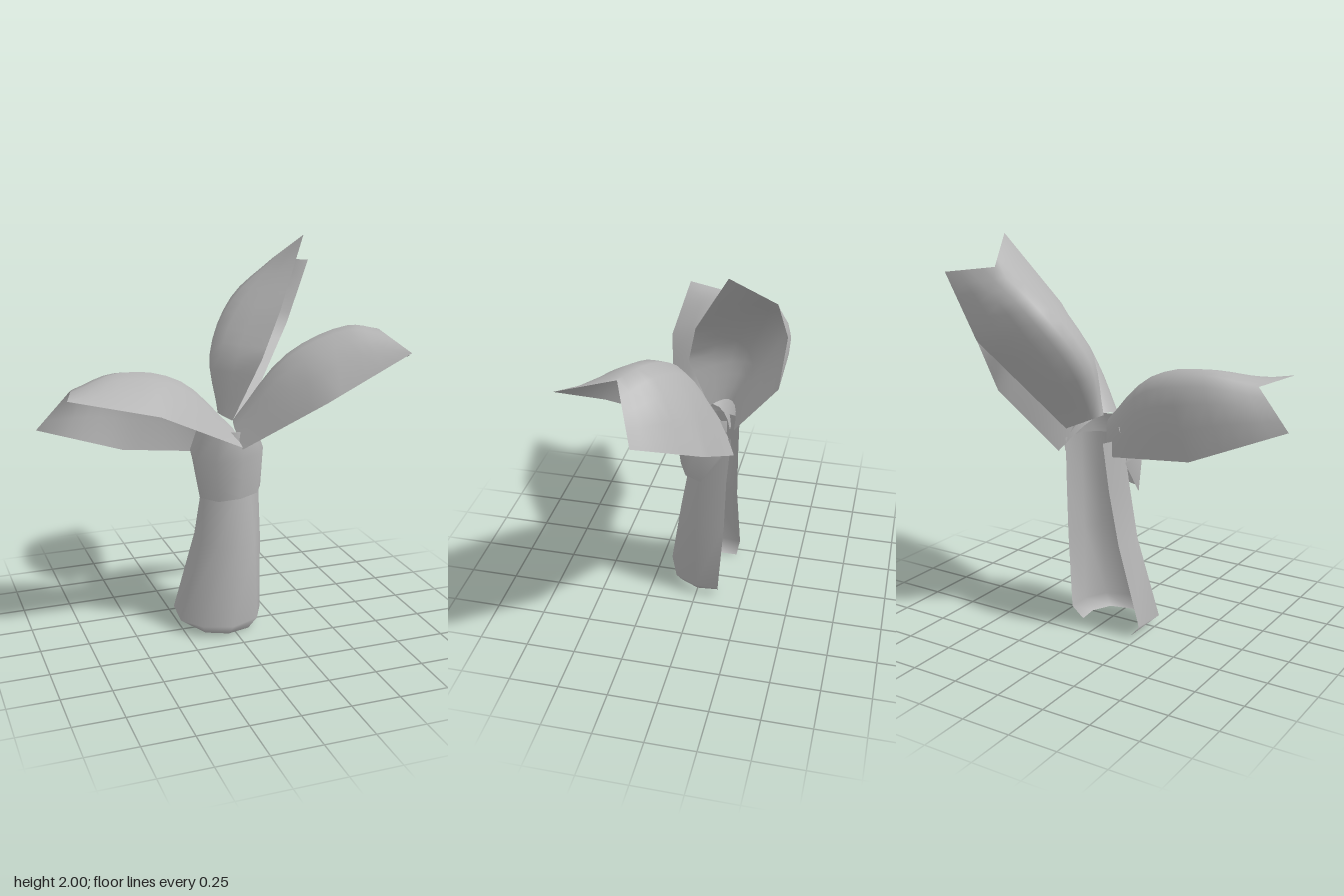
import * as THREE from 'three';

const grey = new THREE.MeshStandardMaterial({ color: 0xb4b4b4, side: THREE.DoubleSide });
grey.name = 'plain grey';

const vec = (p) => new THREE.Vector3(...p);
const levelRow = (y, pts) => pts.map(([x, z]) => vec([x, y, z]));
const smoothCurve = (pts) => new THREE.CatmullRomCurve3(pts.map(vec));

// Straight-segmented rim
function rimCurve(pts) {
  const path = pts.map(vec);
  return {
    getPoint(u) {
      const s = u * (path.length - 1);
      const i = Math.min(Math.floor(s), path.length - 2);
      return path[i].clone().lerp(path[i + 1], s - i);
    },
  };
}

// Smooth open sheet from rows of equal point count
function sheet(name, rows) {
  const n = rows[0].length;
  const index = [];
  for (let i = 0; i < rows.length - 1; i++) {
    for (let j = 0; j < n - 1; j++) {
      const a = i * n + j, b = a + n;
      index.push(a, a + 1, b, b, a + 1, b + 1);
    }
  }
  const geo = new THREE.BufferGeometry();
  geo.setAttribute('position', new THREE.Float32BufferAttribute(rows.flat().flatMap((p) => p.toArray()), 3));
  geo.setIndex(index);
  geo.computeVertexNormals();
  const mesh = new THREE.Mesh(geo, grey);
  mesh.name = name;
  return mesh;
}

// Hooded leaf spanned by its two rims and its ridge; the ridge ends in a notch
function leaf(name, rimA, ridge, rimB) {
  const curves = [rimCurve(rimA), smoothCurve(ridge), rimCurve(rimB)];
  const rows = [];
  const along = 12, across = 8;
  for (let i = 0; i <= along; i++) {
    const u = i / along;
    const [a, r, b] = curves.map((c) => c.getPoint(u));
    const sharp = u ** 6; // the tip edge runs straight from point to notch
    const row = [];
    for (let j = 0; j <= across; j++) {
      const t = j / across;
      const round = new THREE.Vector3()
        .addScaledVector(a, (1 - t) * (1 - 2 * t))
        .addScaledVector(r, 4 * t * (1 - t))
        .addScaledVector(b, t * (2 * t - 1));
      const straight = t < 0.5 ? a.clone().lerp(r, t * 2) : r.clone().lerp(b, t * 2 - 1);
      row.push(round.lerp(straight, sharp));
    }
    rows.push(row);
  }
  return sheet(name, rows);
}

export function createModel() {
  const model = new THREE.Group();
  model.name = 'sprout';

  // Stalk: a curved shell open at the back, tucked in at the foot
  model.add(sheet('stalk', [
    levelRow(0, [[0.12, -0.11], [0.13, 0], [0.08, 0.1], [-0.04, 0.13], [-0.15, 0.08], [-0.2, -0.03], [-0.2, -0.15]]),
    levelRow(0.06, [[0.18, -0.12], [0.18, 0], [0.12, 0.12], [-0.03, 0.18], [-0.18, 0.13], [-0.265, 0.02], [-0.25, -0.16]]),
    levelRow(0.47, [[0.18, -0.15], [0.18, 0], [0.12, 0.08], [0.03, 0.11], [-0.08, 0.08], [-0.145, 0], [-0.13, -0.16]]),
    levelRow(0.75, [[0.18, -0.16], [0.175, -0.02], [0.11, 0.04], [0.03, 0.06], [-0.06, 0.04], [-0.115, -0.03], [-0.08, -0.17]]),
    levelRow(1.0, [[0.17, -0.18], [0.16, -0.05], [0.1, 0.01], [0.03, 0.03], [-0.05, 0.01], [-0.09, -0.06], [-0.05, -0.18]]),
  ]));

  // Collar: wraps the front, its lower edge rising towards the back
  model.add(sheet('collar', [
    [[0.19, 0.93, -0.16], [0.19, 0.74, -0.03], [0.14, 0.735, 0.06], [0.03, 0.73, 0.11],
      [-0.08, 0.72, 0.09], [-0.15, 0.72, 0], [-0.15, 0.9, -0.13]].map(vec),
    [[0.19, 0.96, -0.16], [0.2, 0.95, -0.02], [0.15, 0.95, 0.08], [0.03, 0.95, 0.14],
      [-0.1, 0.93, 0.11], [-0.17, 0.92, 0], [-0.16, 0.94, -0.13]].map(vec),
    levelRow(1.08, [[0.13, -0.15], [0.15, 0], [0.11, 0.07], [0.03, 0.1], [-0.07, 0.08], [-0.12, 0], [-0.11, -0.13]]),
  ]));

  model.add(leaf('rightLeaf',
    [[0.03, 1.01, 0.14], [-0.42, 1.24, 0.26], [-0.86, 1.355, 0.26]],
    [[0, 1.09, -0.05], [-0.24, 1.32, -0.09], [-0.55, 1.385, -0.09], [-0.79, 1.34, 0]],
    [[-0.05, 0.92, -0.13], [-0.51, 0.97, -0.15], [-0.96, 1.15, -0.03]]));

  model.add(leaf('leftLeaf',
    [[0.03, 1, 0.14], [0.37, 1.27, 0.39], [0.75, 1.51, 0.5]],
    [[0.04, 1.11, -0.03], [0.29, 1.45, 0.06], [0.58, 1.59, 0.14], [0.71, 1.58, 0.22]],
    [[0.2, 0.93, -0.2], [0.62, 1.18, -0.14], [0.96, 1.4, 0.1]]));

  model.add(leaf('backLeaf',
    [[0.04, 1.1, -0.04], [0.17, 1.42, 0.03], [0.29, 1.65, -0.03], [0.49, 2, -0.22]],
    [[0, 1.12, -0.15], [0, 1.4, -0.28], [0.16, 1.67, -0.4], [0.4, 1.86, -0.42]],
    [[0.16, 1.05, -0.19], [0.5, 1.5, -0.45], [0.64, 1.83, -0.5]]));

  return model;
}
